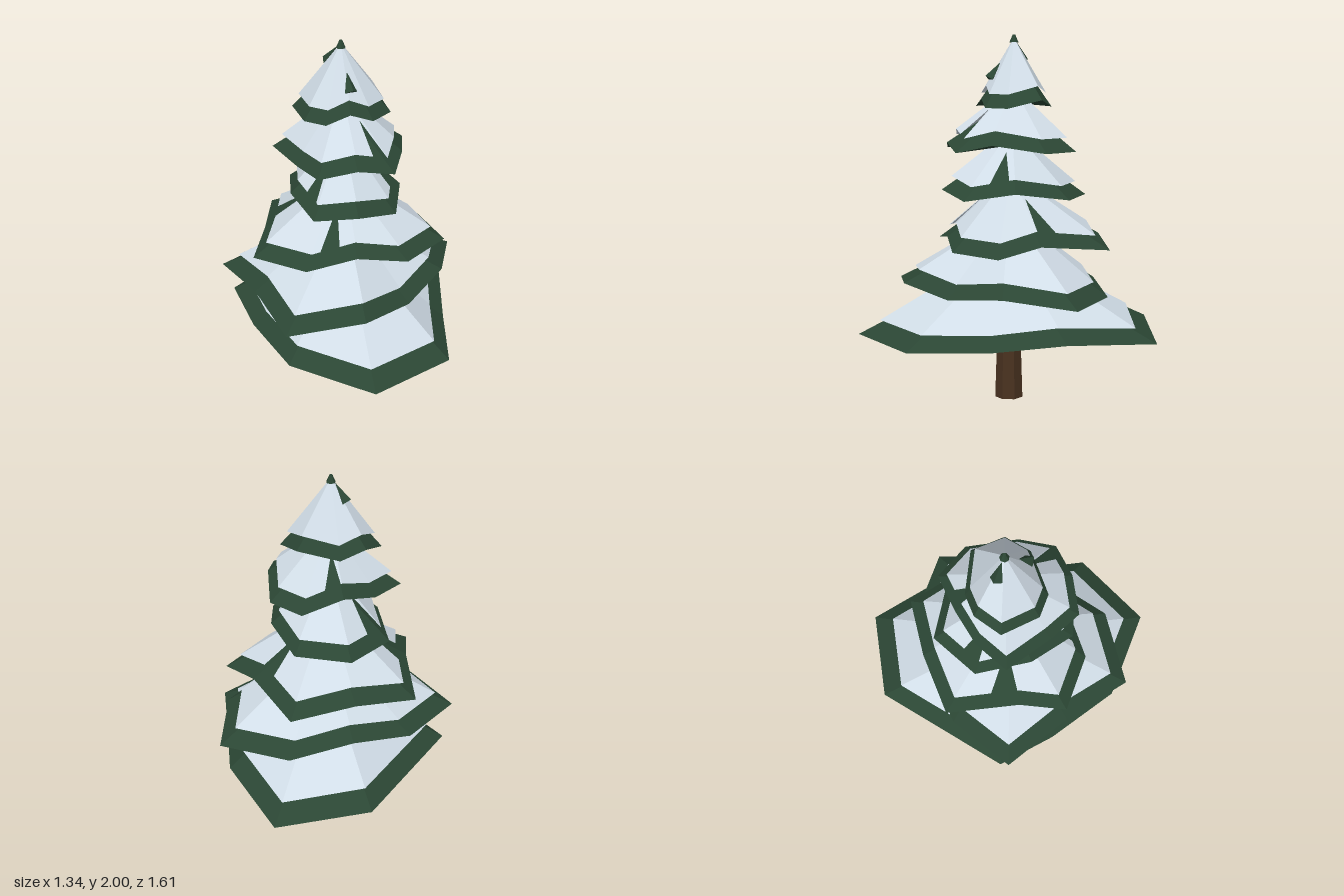
import * as THREE from 'three';

const flat = (name, color, side = THREE.FrontSide) => {
  const m = new THREE.MeshStandardMaterial({ color, flatShading: true, side });
  m.name = name;
  return m;
};

// Branch tiers: snow peak and rim heights, rim points [x, z] anticlockwise from the front
// (front to back only when mirrored), the rim points that lift, and notches in the
// snow as [rim edge, position along that edge]
const TIERS = [
  { peak: 0.87, low: 0.39, lifted: [3, 5, 6], notches: [], rim: [
    [0, 0.8], [0.45, 0.585], [0.53, 0.17], [0.61, -0.22], [0.5, -0.73],
    [0, -0.81], [-0.61, -0.29], [-0.54, 0.05], [-0.4, 0.47]] },
  { peak: 1.05, low: 0.62, lifted: [0, 2, 5, 8], notches: [], rim: [
    [0, 0.55], [0.28, 0.35], [0.53, 0.1], [0.665, -0.26], [0.35, -0.5],
    [0, -0.51], [-0.335, -0.48], [-0.67, -0.26], [-0.53, 0.13], [-0.42, 0.53]] },
  { peak: 1.26, low: 0.87, lifted: [0, 3, 5], notches: [[9, 0.42], [3, 0.1], [6, 0.8]], mirrored: true, rim: [
    [0, 0.31], [0.275, 0.32], [0.53, 0.12], [0.435, -0.12], [0.343, -0.51], [0, -0.535]] },
  { peak: 1.5, low: 1.13, lifted: [0, 2], notches: [[6, 0.7], [1, 0.65], [4, 0.8]], mirrored: true, rim: [
    [0, 0.34], [0.22, 0.25], [0.302, -0.01], [0.26, -0.31], [0, -0.46]] },
  { peak: 1.73, low: 1.385, lifted: [0, 2, 5], notches: [[0, 0.77], [4, 0.75]], rim: [
    [0, 0.31], [0.2, 0.29], [0.28, 0.11], [0.345, -0.165], [0.23, -0.35],
    [0, -0.325], [-0.19, -0.275], [-0.37, -0.17], [-0.28, 0.1], [-0.2, 0.28]] },
  { peak: 1.985, low: 1.615, lifted: [0, 3, 5], notches: [], rim: [
    [0, 0.12], [0.12, 0.12], [0.235, 0.02], [0.2, -0.17], [0, -0.265],
    [-0.14, -0.26], [-0.26, -0.16], [-0.23, 0.05], [-0.13, 0.13]] },
];

// Full rim of a tier, mirrored to the right where both sides match
function rimPoints({ rim, low, lifted, mirrored }) {
  const half = rim.map(([x, z], i) => new THREE.Vector3(x, lifted.includes(i) ? low + 0.042 : low, z));
  if (!mirrored) return half;
  const other = half.slice(1, -1).reverse().map((p) => new THREE.Vector3(-p.x, p.y, p.z));
  return [...half, ...other];
}

// Triangle fan from a centre point round a closed ring
function addFan(out, centre, ring, facingDown = false) {
  ring.forEach((a, i) => {
    const b = ring[(i + 1) % ring.length];
    for (const p of facingDown ? [centre, b, a] : [centre, a, b]) out.push(p.x, p.y, p.z);
  });
}

function fanGeometry(positions) {
  const g = new THREE.BufferGeometry();
  g.setAttribute('position', new THREE.Float32BufferAttribute(positions, 3));
  g.computeVertexNormals();
  return g;
}

export function createModel() {
  const tree = new THREE.Group();
  tree.name = 'snowyTree';
  const needles = flat('needle green', 0x2b4634);
  const snow = flat('snow', 0xd0dce6, THREE.DoubleSide);
  const bark = flat('bark brown', 0x493220);

  const add = (name, geometry, material, parent = tree) => {
    const mesh = new THREE.Mesh(geometry, material);
    mesh.name = name;
    parent.add(mesh);
    return mesh;
  };

  add('trunk', new THREE.CylinderGeometry(0.062, 0.078, 0.5, 7), bark).position.set(0.005, 0.25, -0.03);

  TIERS.forEach((spec, t) => {
    const tier = new THREE.Group();
    tier.name = `tier${t + 1}`;
    tree.add(tier);
    const top = new THREE.Vector3(-0.003 * t, spec.peak, -0.03 - 0.006 * t);
    const green = rimPoints(spec);

    // Branches: irregular cone with a closed underside
    const branch = [];
    addFan(branch, top.clone().setY(spec.peak - 0.07), green);
    addFan(branch, top.clone().setY(spec.low + 0.02), green, true);
    add('branches', fanGeometry(branch), needles, tier);

    // Snow: smaller shell resting on the branches, cut by pointed notches
    const edge = green.map((p) => p.clone().lerp(top.clone().setY(p.y), 0.14).setY(p.y + 0.073));
    const ring = [];
    edge.forEach((a, i) => {
      ring.push(a);
      const b = edge[(i + 1) % edge.length];
      const on = (s) => a.clone().lerp(b, THREE.MathUtils.clamp(s, 0.01, 0.99));
      for (const [e, at] of spec.notches) {
        if (e === i) ring.push(on(at - 0.22), on(at).lerp(top, 0.54), on(at + 0.22));
      }
    });
    const shell = [];
    addFan(shell, top, ring);
    add('snow', fanGeometry(shell), snow, tier);
  });

  // Bare tip, and small sprigs [bearing, height, distance from axis] poking out of the top snow
  add('tip', new THREE.CylinderGeometry(0.008, 0.025, 0.04, 7), needles).position.set(-0.015, 1.98, -0.06);
  for (const [bearing, y, out] of [[0.2, 1.81, 0.106], [-2.36, 1.915, 0.056]]) {
    const sprig = add('sprig', new THREE.ConeGeometry(0.034, 0.11, 4), needles);
    sprig.position.set(-0.015 + out * Math.sin(bearing), y, -0.06 + out * Math.cos(bearing));
    sprig.rotation.set(-0.58, bearing, 0, 'YXZ');
  }
  return tree;
}
